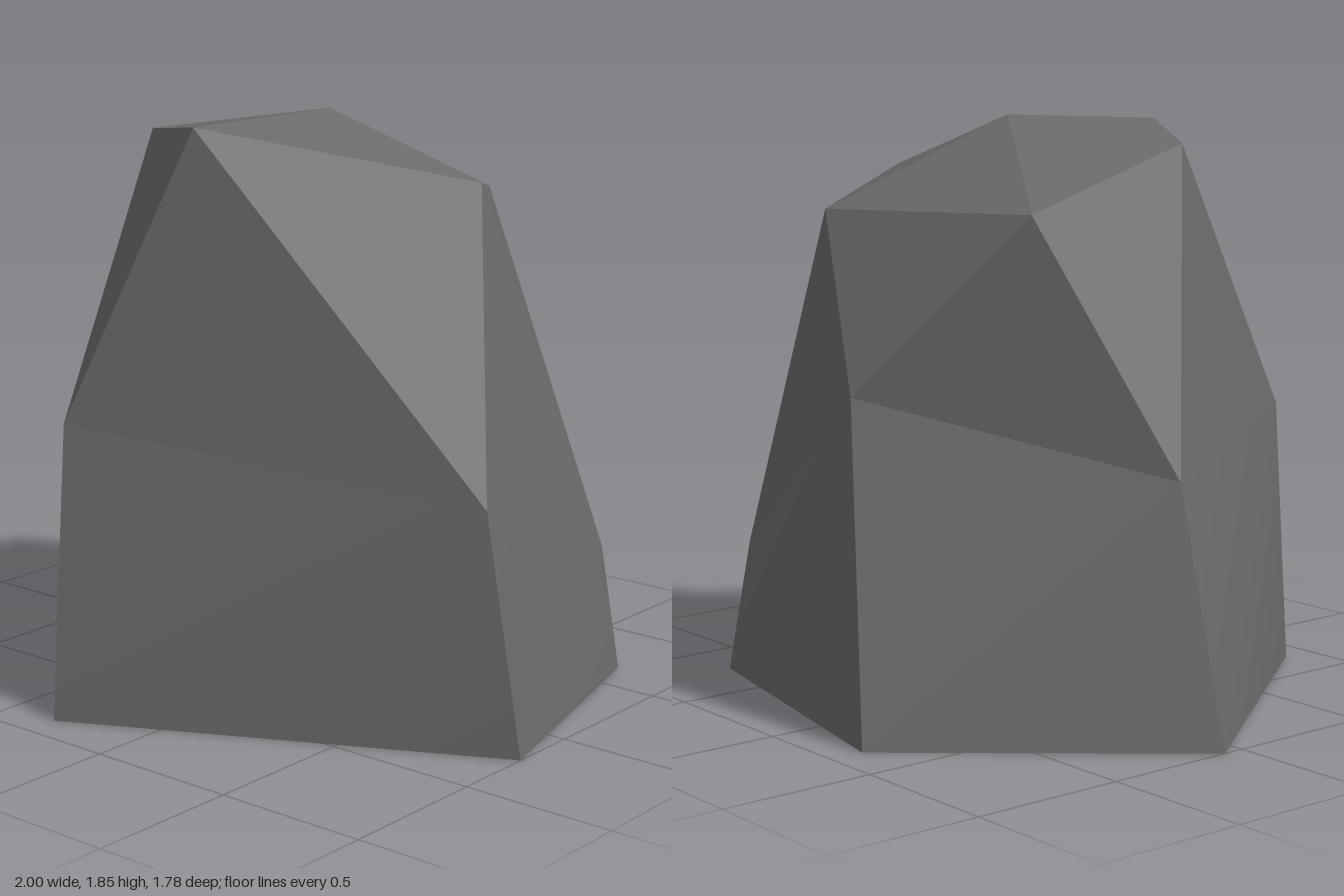
import * as THREE from 'three';
import { toCreasedNormals } from 'three/addons/utils/BufferGeometryUtils.js';

// Five-cornered rings, running counterclockwise seen from above, front corner first
const base = [[-0.31, 0, 0.89], [1, 0, 0.23], [0.765, 0, -0.66], [-0.31, 0, -0.89], [-1, 0, -0.07]];
const waist = [[-0.41, 0.905, 0.72], [0.88, 0.755, 0.255], [0.73, 0.43, -0.595], [-0.13, 1.03, -0.79], [-0.82, 0.79, -0.09]];
const shoulder = [[-0.08, 1.83, 0.47], [0.62, 1.67, -0.05], [0.24, 1.565, -0.615], [-0.54, 1.58, -0.43], [-0.52, 1.77, 0.185]];
const peak = [0, 1.85, -0.08];

// Band of triangles between two rings, every quad split the same way
function band(lower, upper, diagonalFromLower) {
  const tris = [];
  lower.forEach((a, i) => {
    const j = (i + 1) % lower.length;
    const b = lower[j], c = upper[j], d = upper[i];
    if (diagonalFromLower) tris.push(a, b, c, a, c, d);
    else tris.push(a, b, d, d, b, c);
  });
  return tris;
}

function facets(corners) {
  const geometry = new THREE.BufferGeometry();
  geometry.setAttribute('position', new THREE.Float32BufferAttribute(corners.flat(), 3));
  geometry.computeVertexNormals();
  return geometry;
}

export function createModel() {
  const stone = new THREE.MeshStandardMaterial({ color: 0x6a6a6a, side: THREE.DoubleSide });
  stone.name = 'grey stone';
  const group = new THREE.Group();
  group.name = 'rock';

  const add = (name, geometry) => {
    const mesh = new THREE.Mesh(geometry, stone);
    mesh.name = name;
    group.add(mesh);
  };

  // Lower sides, open underneath, softly shaded across the shallow diagonals
  add('lowerSides', toCreasedNormals(facets(band(base, waist, true)), Math.PI / 6));

  // Tapering upper sides
  add('upperSides', facets(band(waist, shoulder, false)));

  // Faceted cap
  const cap = shoulder.flatMap((p, i) => [p, shoulder[(i + 1) % shoulder.length], peak]);
  add('cap', facets(cap));

  return group;
}
